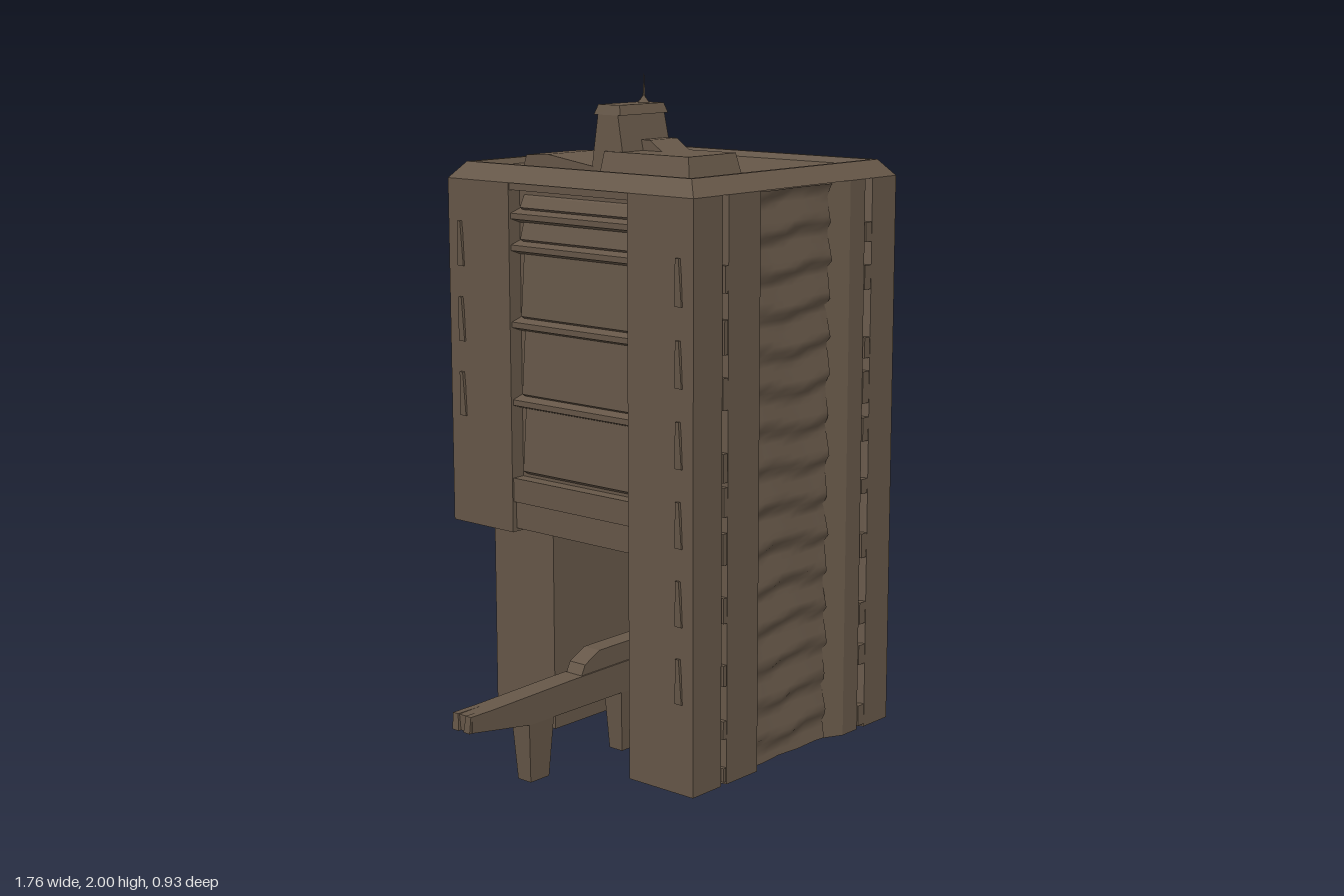
import * as THREE from 'three';

const stone = new THREE.MeshStandardMaterial({ color: 0x665748 });
stone.name = 'brown stone';

// Outer bounds of the tower
const X0 = -0.485, X1 = 0.42, Z = 0.465, CX = (X0 + X1) / 2;
const EAVE = 1.69, ARCH = 0.69, BASE = 0.04;

let seed = 7;
const rand = () => (seed = (seed * 16807) % 2147483647) / 2147483647;

export function createModel() {
  const model = new THREE.Group();
  model.name = 'archedTower';

  const add = (name, geo, parent = model) => {
    const m = new THREE.Mesh(geo, stone);
    m.name = name;
    parent.add(m);
    return m;
  };
  const flat = (geo) => {
    const g = geo.index ? geo.toNonIndexed() : geo;
    g.computeVertexNormals();
    return g;
  };
  // Box given by its limits
  const box = (x0, x1, y0, y1, z0, z1) =>
    new THREE.BoxGeometry(x1 - x0, y1 - y0, z1 - z0)
      .translate((x0 + x1) / 2, (y0 + y1) / 2, (z0 + z1) / 2);
  // Block between a bottom and a top rectangle [x0, x1, z0, z1]
  const taper = (bottom, y0, top, y1) => {
    const g = new THREE.BoxGeometry(1, 1, 1);
    const p = g.attributes.position;
    for (let i = 0; i < p.count; i++) {
      const r = p.getY(i) > 0 ? top : bottom;
      p.setXYZ(i, p.getX(i) > 0 ? r[1] : r[0], p.getY(i) > 0 ? y1 : y0, p.getZ(i) > 0 ? r[3] : r[2]);
    }
    return flat(g);
  };
  // Side outline drawn in x and y, given depth in z
  const sideCut = (pts, z0, z1) =>
    new THREE.ExtrudeGeometry(new THREE.Shape(pts.map(([x, y]) => new THREE.Vector2(x, y))),
      { depth: z1 - z0, bevelEnabled: false }).translate(0, 0, z0);

  // Wall plan with a wide centre channel and two narrow grooves
  const wall = (name, side, x0, y0, y1) => {
    const inner = side > 0 ? 0.23 : 0.22;
    const g = 0.445;
    const pts = [[x0, inner], [x0, Z]];
    if (x0 < -0.4) pts.push([-0.365, Z], [-0.36, g], [-0.345, g], [-0.34, Z]);
    pts.push([-0.205, Z], [-0.185, 0.425], [0.12, 0.425], [0.2, Z],
      [0.27, Z], [0.275, g], [0.295, g], [0.305, Z], [X1, Z], [X1, inner]);
    const shape = new THREE.Shape(pts.map(([x, z]) => new THREE.Vector2(x, -side * z)));
    add(name, new THREE.ExtrudeGeometry(shape, { depth: y1 - y0, bevelEnabled: false })
      .rotateX(-Math.PI / 2).translate(0, y0, 0));
  };
  wall('frontWall', 1, X0, BASE, EAVE);
  wall('backWallUpper', -1, X0, ARCH - 0.01, EAVE);
  wall('backLeg', -1, -0.32, BASE, ARCH - 0.01);

  // Rippled panels in the centre channels and broken filling in the grooves
  for (const side of [1, -1]) {
    const face = side > 0 ? 'front' : 'back';
    const panel = new THREE.PlaneGeometry(0.33, EAVE - BASE - 0.01, 8, 90);
    const p = panel.attributes.position;
    for (let i = 0; i < p.count; i++) {
      const x = p.getX(i), y = p.getY(i);
      const t = (((y + 0.012 * Math.sin(x * 17 + y * 5) + 2) / 0.112) % 1);
      p.setZ(i, 0.432 + 0.02 * (1 - t) * Math.min(1, t * 6) + 0.003 * Math.sin(x * 40 + y * 23));
    }
    panel.computeVertexNormals();
    if (side < 0) panel.rotateY(Math.PI);
    add(face + 'RippledPanel', panel.translate(-0.03, (EAVE + BASE) / 2, 0));

    const chips = new THREE.Group();
    chips.name = face + 'GrooveChips';
    model.add(chips);
    for (const [a, b] of [[-0.365, -0.34], [0.27, 0.305]]) {
      const low = side < 0 && a < 0 ? 0.7 : 0.05;
      for (let y = low; y < 1.58; y += 0.09 + rand() * 0.12) {
        const h = 0.04 + rand() * 0.06, cut = rand() * 0.01;
        add('chip', box(a + cut, b - 0.004, y, y + h, side > 0 ? 0.44 : -0.467, side > 0 ? 0.467 : -0.44), chips);
      }
    }
    // Cracked bands along the outer side corners
    for (const x of [X0, X1]) {
      for (let y = side < 0 ? 1.0 : 0.3; y < 1.6; y += 0.22) {
        const z = side * 0.415, out = x < 0 ? -0.006 : 0.006;
        add('cornerChip', taper([x - 0.005, x + 0.005, z - 0.012, z + 0.012], y,
          [x + out - 0.004, x + out + 0.004, z - 0.006, z + 0.006], y + 0.13), chips);
      }
    }
  }

  // Bridge between the walls above the passage
  add('bridgeCore', box(X0 + 0.045, X1 - 0.045, ARCH + 0.01, EAVE, -0.23, 0.235));
  for (const s of [-1, 1]) {
    const outer = s < 0 ? X0 : X1;
    const inset = (d) => outer - s * d;
    const strip = (name, d0, d1, y0, y1) => {
      const a = inset(d0), b = inset(d1);
      add(name, box(Math.min(a, b), Math.max(a, b), y0, y1, -0.22, 0.23));
    };
    strip('lintel', 0.015, 0.08, ARCH, 0.77);
    strip('sill', 0.005, 0.08, 0.77, 0.84);
    strip('topBand', 0.004, 0.08, 1.67, EAVE);
    // Ledges and the sloping panels between them
    const rows = [0.84, 1.065, 1.29, 1.51, 1.60];
    rows.forEach((y, i) => {
      const next = i < 4 ? rows[i + 1] : 1.67;
      if (i) {
        add('ledge', sideCut([[inset(0.06), y - 0.03], [inset(0.008), y - 0.012],
          [inset(0.008), y + 0.004], [inset(0.06), y + 0.02]], -0.22, 0.23));
      }
      add('louvrePanel', sideCut([[inset(0.06), y], [inset(0.025), y + 0.02],
        [inset(0.04), next - 0.02], [inset(0.06), next]], -0.2, 0.21));
    });
  }

  // Bevelled roof with a low rim
  const k = Math.SQRT2;
  const roof = [[1, EAVE], [0.915, 1.737], [0.885, 1.737], [0.865, 1.72], [0, 1.72]]
    .map(([r, y]) => new THREE.Vector2(r * k, y));
  add('roof', flat(new THREE.LatheGeometry(roof, 4, Math.PI / 4)
    .scale((X1 - X0) / 2, 1, Z).translate(CX, 0, 0)));

  // Rooftop turret with its plinths and spire
  add('frontPlinth', taper([-0.345, -0.12, 0.0, 0.33], 1.715, [-0.325, -0.125, 0.0, 0.31], 1.78));
  add('backPlinth', flat(sideCut([[0.04, 1.715], [0.32, 1.715], [0.305, 1.755], [0.22, 1.76], [0.04, 1.735]], 0, 0.2)
    .rotateY(Math.PI / 2).translate(-0.325, 0, 0)));
  add('turret', taper([-0.325, -0.12, -0.05, 0.08], 1.715, [-0.315, -0.12, -0.032, 0.042], 1.885));
  add('turretCap', taper([-0.318, -0.118, -0.045, 0.055], 1.88, [-0.31, -0.125, -0.035, 0.045], 1.908));
  add('turretStep', taper([-0.235, -0.12, 0.04, 0.15], 1.77, [-0.235, -0.12, 0.04, 0.09], 1.81));
  add('spireFoot', new THREE.ConeGeometry(0.025, 0.025, 4).translate(-0.16, 1.918, 0));
  add('spire', new THREE.ConeGeometry(0.005, 0.09, 5).translate(-0.158, 1.955, 0));

  // Long beam through the passage, on tapered posts
  const B0 = -0.065, B1 = 0.005;
  add('beam', sideCut([[-0.875, 0.225], [-0.65, 0.19], [0.68, 0.19], [0.85, 0.24], [0.875, 0.245],
    [0.88, 0.265], [0.84, 0.265], [0.47, 0.29], [-0.49, 0.28], [-0.875, 0.27]], B0, B1));
  add('beamHump', sideCut([[-0.44, 0.27], [0.49, 0.27], [0.485, 0.31], [0.45, 0.335], [0.4, 0.345],
    [-0.36, 0.34], [-0.42, 0.31]], B0 + 0.005, B1 - 0.005));
  for (const s of [1, -1]) {
    add('beamEndFork', taper([-0.885, -0.8, -0.03 + s * 0.022 - 0.012, -0.03 + s * 0.022 + 0.012], 0.225,
      [-0.88, -0.8, -0.03 + s * 0.025 - 0.01, -0.03 + s * 0.025 + 0.01], 0.272));
  }
  for (const [x, y] of [[-0.605, 0.015], [-0.222, 0.005], [0.205, 0.015], [0.6, 0.015]]) {
    add('beamPost', taper([x - 0.037, x + 0.037, -0.055, -0.005], y, [x - 0.05, x + 0.05, B0, B1], 0.2));
  }
  return model;
}
